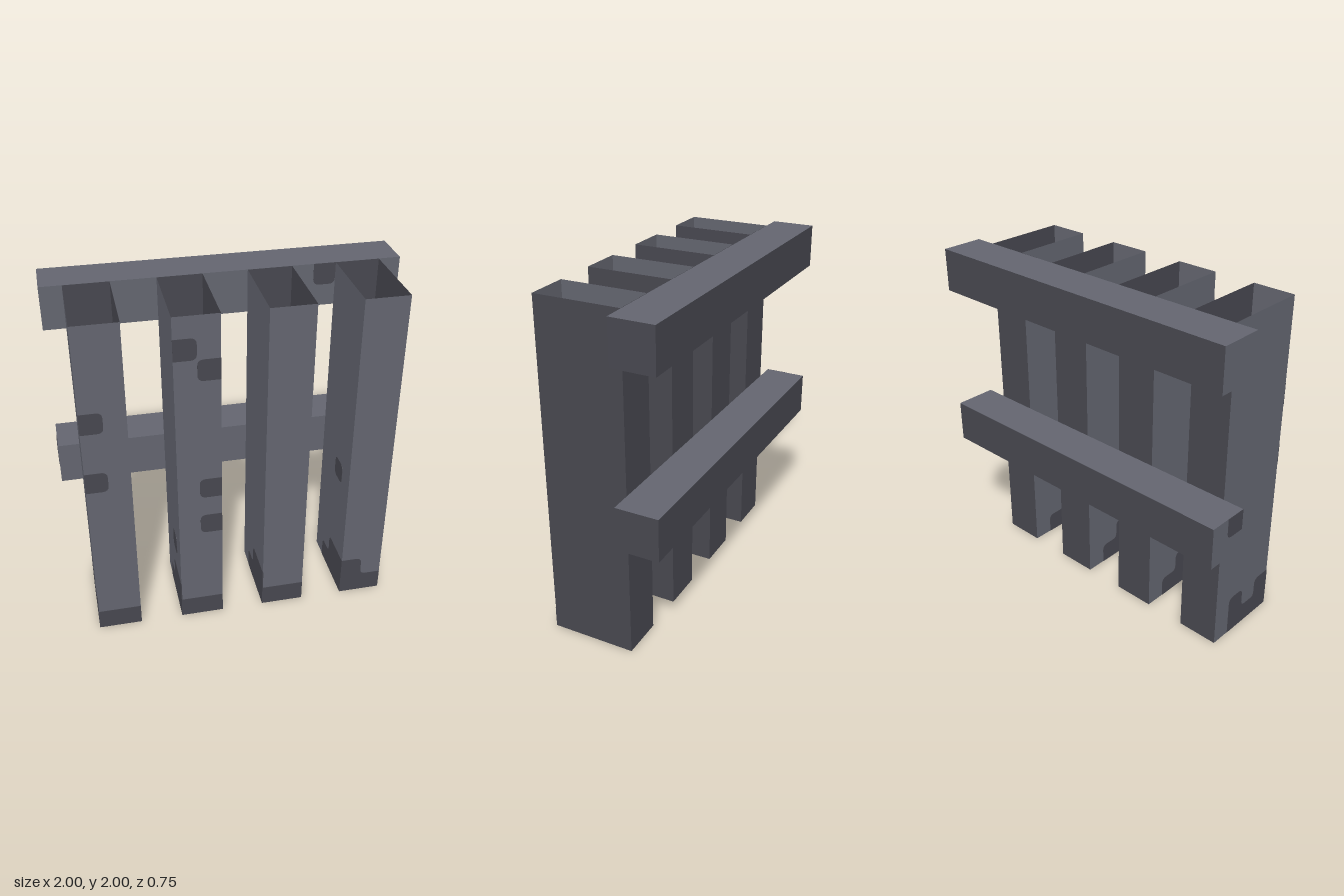
import * as THREE from 'three';

const CELL = 0.125;   // size of one weathering patch
const THICK = 0.004;  // patch plate thickness

const lightMetal = new THREE.MeshStandardMaterial({ color: 0x63656f, side: THREE.DoubleSide });
lightMetal.name = 'light grey metal';
const darkMetal = new THREE.MeshStandardMaterial({ color: 0x47474f, side: THREE.DoubleSide });
darkMetal.name = 'dark grey metal';

// Outline in cells; corners inside the cols x rows face are rounded
function patch(points, cols, rows) {
  const pts = points.map(([u, v]) => new THREE.Vector2(u * CELL, v * CELL));
  const shape = new THREE.Shape();
  pts.forEach((p, i) => {
    const [u, v] = points[i];
    const prev = pts[(i + pts.length - 1) % pts.length];
    const next = pts[(i + 1) % pts.length];
    const r = u === 0 || v === 0 || u === cols || v === rows ? 0 : 0.035;
    const a = p.clone().add(prev.clone().sub(p).setLength(r));
    const b = p.clone().add(next.clone().sub(p).setLength(r));
    if (i === 0) shape.moveTo(a.x, a.y); else shape.lineTo(a.x, a.y);
    if (r > 0) shape.quadraticCurveTo(p.x, p.y, b.x, b.y);
  });
  shape.closePath();
  const geo = new THREE.ExtrudeGeometry(shape, { depth: THICK, bevelEnabled: false, curveSegments: 4 });
  geo.translate(0, 0, -THICK / 2);
  const mesh = new THREE.Mesh(geo, darkMetal);
  mesh.name = 'wornPatch';
  return mesh;
}

const cell = (u, v) => [[u, v], [u + 1, v], [u + 1, v + 1], [u, v + 1]];

// Patches laid on a face whose lower left corner is at (x, y, z)
function patches(name, outlines, cols, rows, x, y, z, turn = 0) {
  const group = new THREE.Group();
  group.name = name;
  outlines.forEach((o) => group.add(patch(o, cols, rows)));
  group.position.set(x, y, z);
  group.rotation.y = turn;
  return group;
}

function wall(name, width, material, x, z, turn) {
  const mesh = new THREE.Mesh(new THREE.PlaneGeometry(width, 2), material);
  mesh.name = name;
  mesh.position.set(x, 1, z);
  mesh.rotation.y = turn;
  return mesh;
}

// Hollow slat, open at top and bottom
function slat(x, front, side) {
  const group = new THREE.Group();
  group.name = 'slat';
  const back = -0.123, face = 0.373;
  const depth = face - back, mid = (face + back) / 2;
  group.add(
    wall('slatFront', 0.25, lightMetal, x, face, 0),
    wall('slatBack', 0.25, darkMetal, x, back, Math.PI),
    wall('slatLeft', depth, darkMetal, x + 0.125, mid, Math.PI / 2),
    wall('slatRight', depth, lightMetal, x - 0.125, mid, -Math.PI / 2),
    patches('frontPatches', front, 2, 16, x - 0.125, 0, face),
    patches('sidePatches', side, 4, 16, x - 0.125, 0, -0.125, -Math.PI / 2),
  );
  return group;
}

// Solid cross rail behind the slats
function rail(name, y) {
  const mats = [darkMetal, lightMetal, lightMetal, darkMetal, lightMetal, darkMetal];
  const mesh = new THREE.Mesh(new THREE.BoxGeometry(2, 0.25, 0.25), mats);
  mesh.name = name;
  mesh.position.set(0, y, -0.25);
  return mesh;
}

export function createModel() {
  const model = new THREE.Group();
  model.name = 'slattedFence';

  const band = [[0, 0], [2, 0], [2, 1], [0, 1]];
  const stepBand = [[0, 0], [2, 0], [2, 1], [1, 1], [1, 2], [0, 2]];
  const notched = [[1, 0], [4, 0], [4, 2], [3, 2], [3, 1], [2, 1], [2, 2], [1, 2]];
  const stepped = [[1, 0], [4, 0], [4, 2], [2, 2], [2, 1], [1, 1]];

  model.add(
    slat(-0.75, [band, cell(0, 11), cell(0, 8)], [notched]),
    slat(-0.25, [band, cell(0, 14), cell(1, 13), cell(1, 7), cell(1, 5)], [stepped, cell(2, 3)]),
    slat(0.25, [band], [stepped]),
    slat(0.75, [stepBand], [stepped, cell(2, 6)]),
    rail('topRail', 1.875),
    rail('middleRail', 0.875),
    // Worn spots on the rails
    patches('topRailPatches', [cell(12, 1)], 16, 2, -1, 1.75, -0.125),
    patches('middleRailEndPatches', [cell(1, 1)], 2, 2, -1, 0.75, -0.375, -Math.PI / 2),
  );
  return model;
}
